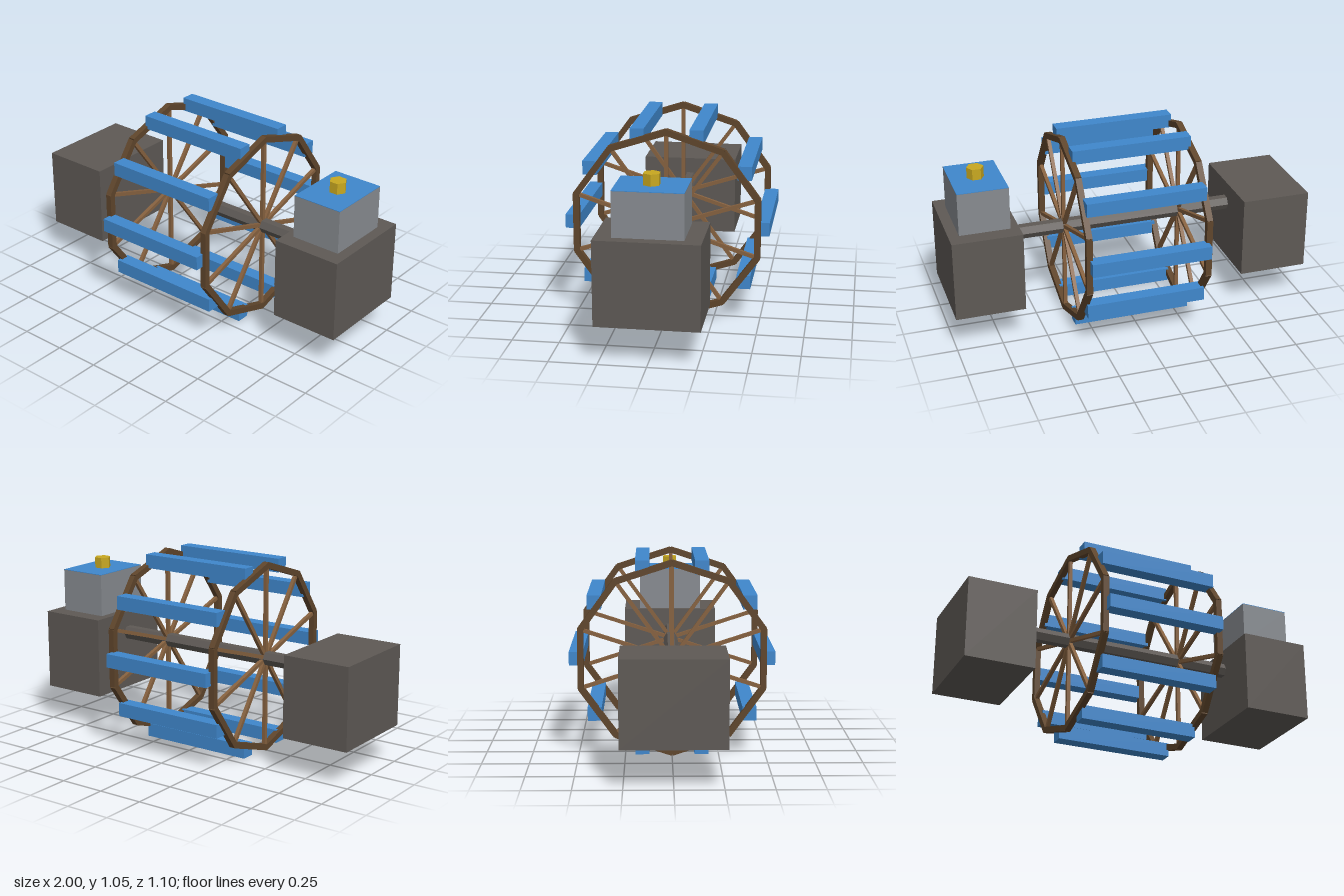
import * as THREE from 'three';

const mat = (name, color) => {
  const m = new THREE.MeshStandardMaterial({ color });
  m.name = name;
  return m;
};

export function createModel() {
  const stone = mat('dark stone', 0x5e5955);
  const wood = mat('dark wood', 0x5f452b);
  const lightWood = mat('light wood', 0x86613f);
  const blue = mat('blue', 0x3f87cc);
  const grey = mat('grey', 0x878b90);
  const gold = mat('gold', 0xc8a820);

  const model = new THREE.Group();
  model.name = 'waterWheel';
  const add = (name, geometry, material, x, y, z, parent = model) => {
    const mesh = new THREE.Mesh(geometry, material);
    mesh.name = name;
    mesh.position.set(x, y, z);
    parent.add(mesh);
    return mesh;
  };

  const SIDES = 10, R = 0.51, AXLE_Y = 0.526, STEP = (Math.PI * 2) / SIDES;

  // Wheel: two decagonal rims with spokes, joined by level paddles
  const wheel = new THREE.Group();
  wheel.name = 'wheel';
  wheel.position.y = AXLE_Y;
  model.add(wheel);

  const apothem = R * Math.cos(STEP / 2);
  const rimGeo = new THREE.BoxGeometry(0.033, 0.033, 2 * R * Math.sin(STEP / 2) + 0.005);
  const spokeGeo = new THREE.BoxGeometry(0.02, R, 0.02);
  const paddleGeo = new THREE.BoxGeometry(0.655, 0.075, 0.075);

  for (let i = 0; i < SIDES; i++) {
    const a = i * STEP, b = a + STEP / 2;
    for (const x of [-0.33, 0.33]) {
      add('rimBeam', rimGeo, wood, x, apothem * Math.cos(b), apothem * Math.sin(b), wheel).rotation.x = b;
      add('spoke', spokeGeo, lightWood, x, (R / 2) * Math.cos(a), (R / 2) * Math.sin(a), wheel).rotation.x = a;
    }
    add('paddle', paddleGeo, blue, 0, R * Math.cos(b), R * Math.sin(b), wheel);
  }

  // Hexagonal axle
  const axleGeo = new THREE.CylinderGeometry(0.04, 0.04, 1.26, 6).toNonIndexed();
  axleGeo.computeVertexNormals();
  add('axle', axleGeo, stone, 0, AXLE_Y, 0).rotation.z = Math.PI / 2;

  // Bearing blocks at both ends
  const blockGeo = new THREE.BoxGeometry(0.38, 0.448, 0.538);
  for (const s of [-1, 1]) add('bearingBlock', blockGeo, stone, s * 0.81, 0.424, 0);

  // Housing on the left block, with blue lid and hexagonal gold knob
  add('housing', new THREE.BoxGeometry(0.276, 0.237, 0.36), grey, 0.805, 0.7655, 0);
  add('housingLid', new THREE.BoxGeometry(0.276, 0.003, 0.36), blue, 0.805, 0.8855, 0);
  const knobGeo = new THREE.CylinderGeometry(0.046, 0.046, 0.06, 6).toNonIndexed();
  knobGeo.computeVertexNormals();
  add('knob', knobGeo, gold, 0.805, 0.917, 0).rotation.y = Math.PI / 6;

  return model;
}
